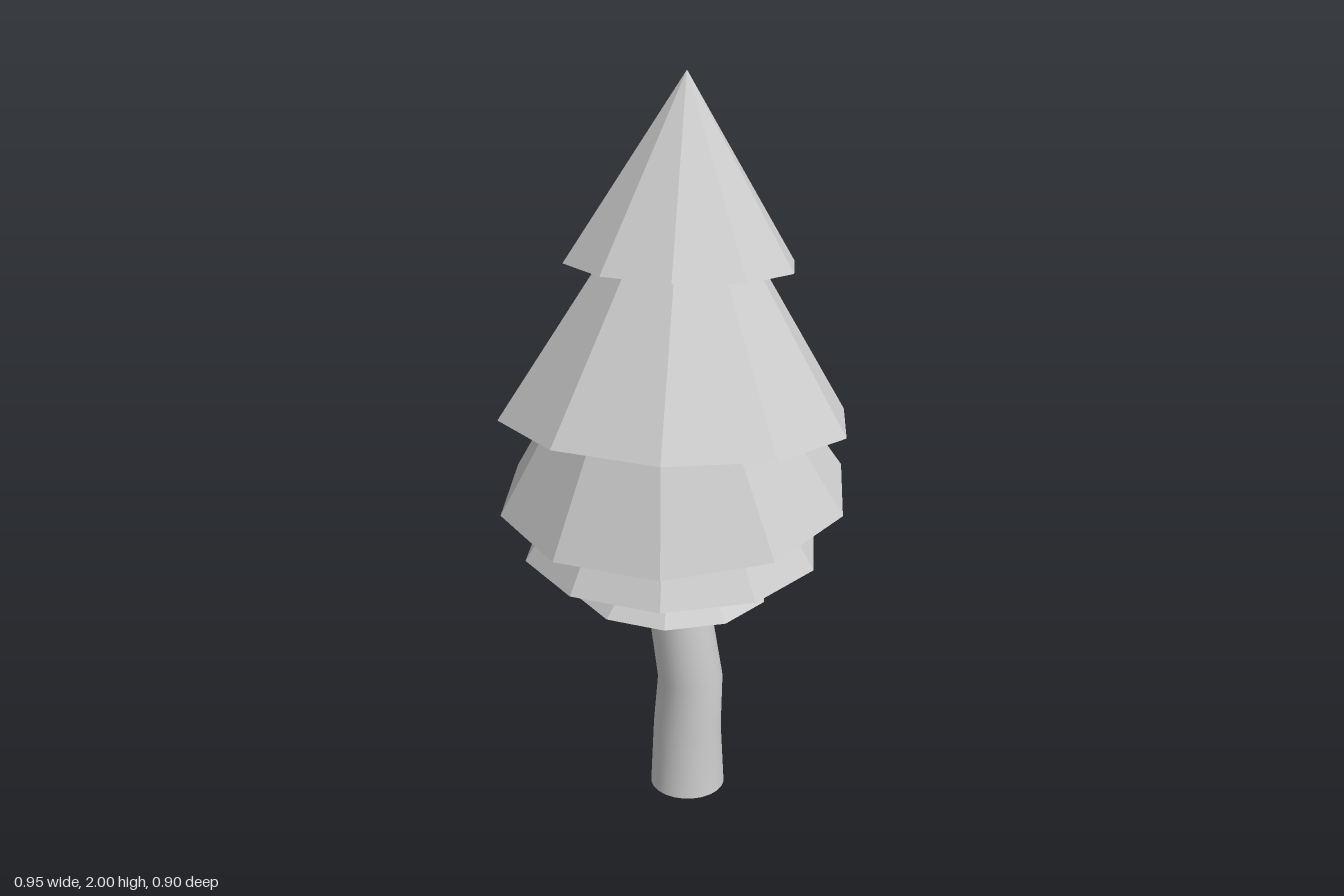
import * as THREE from 'three';
import { mergeVertices } from 'three/addons/utils/BufferGeometryUtils.js';

const foliage = new THREE.MeshStandardMaterial({ color: 0xcccccc, flatShading: true });
const bark = new THREE.MeshStandardMaterial({ color: 0xcccccc });

// Ten-sided cone standing on its base centre, tilted about x (degrees)
function branchTier(name, radius, height, y, z, tilt) {
  const geometry = new THREE.ConeGeometry(radius, height, 10);
  geometry.rotateY(Math.PI / 10);
  geometry.translate(0, height / 2, 0);
  const mesh = new THREE.Mesh(geometry, foliage);
  mesh.name = name;
  mesh.position.set(0, y, z);
  mesh.rotation.x = THREE.MathUtils.degToRad(tilt);
  return mesh;
}

// Crooked trunk: each ring of a cylinder is moved to its own centre and radius
function crookedTrunk() {
  const rings = [ // y, centre x, centre z, radius
    [0, 0.047, 0.02, 0.105],
    [0.18, 0.042, 0.01, 0.096],
    [0.34, 0.053, 0.016, 0.091],
    [0.61, 0.01, 0.016, 0.086],
    [0.78, -0.01, 0.016, 0.08],
  ];
  const last = rings.length - 1;
  let geometry = new THREE.CylinderGeometry(1, 1, last, 24, last);
  const p = geometry.attributes.position;
  for (let i = 0; i < p.count; i++) {
    const [y, cx, cz, r] = rings[Math.round(p.getY(i) + last / 2)];
    p.setXYZ(i, cx + p.getX(i) * r, y, cz + p.getZ(i) * r);
  }
  // Weld the seam so the bark shades smoothly; caps stay sharp
  geometry.deleteAttribute('uv');
  geometry = mergeVertices(geometry);
  geometry.computeVertexNormals();
  const mesh = new THREE.Mesh(geometry, bark);
  mesh.name = 'trunk';
  return mesh;
}

export function createModel() {
  const tree = new THREE.Group();
  tree.name = 'tree';
  tree.add(
    crookedTrunk(),
    branchTier('bottomTier', 0.268, 0.27, 0.61, 0.02, 0),
    branchTier('lowerTier', 0.405, 0.66, 0.73, 0.02, 0),
    branchTier('middleTier', 0.475, 0.78, 0.892, 0.005, 6),
    branchTier('upperTier', 0.475, 0.75, 1.107, 0, -4.9),
    branchTier('topTier', 0.31, 0.487, 1.515, -0.037, -4.9),
  );
  return tree;
}
